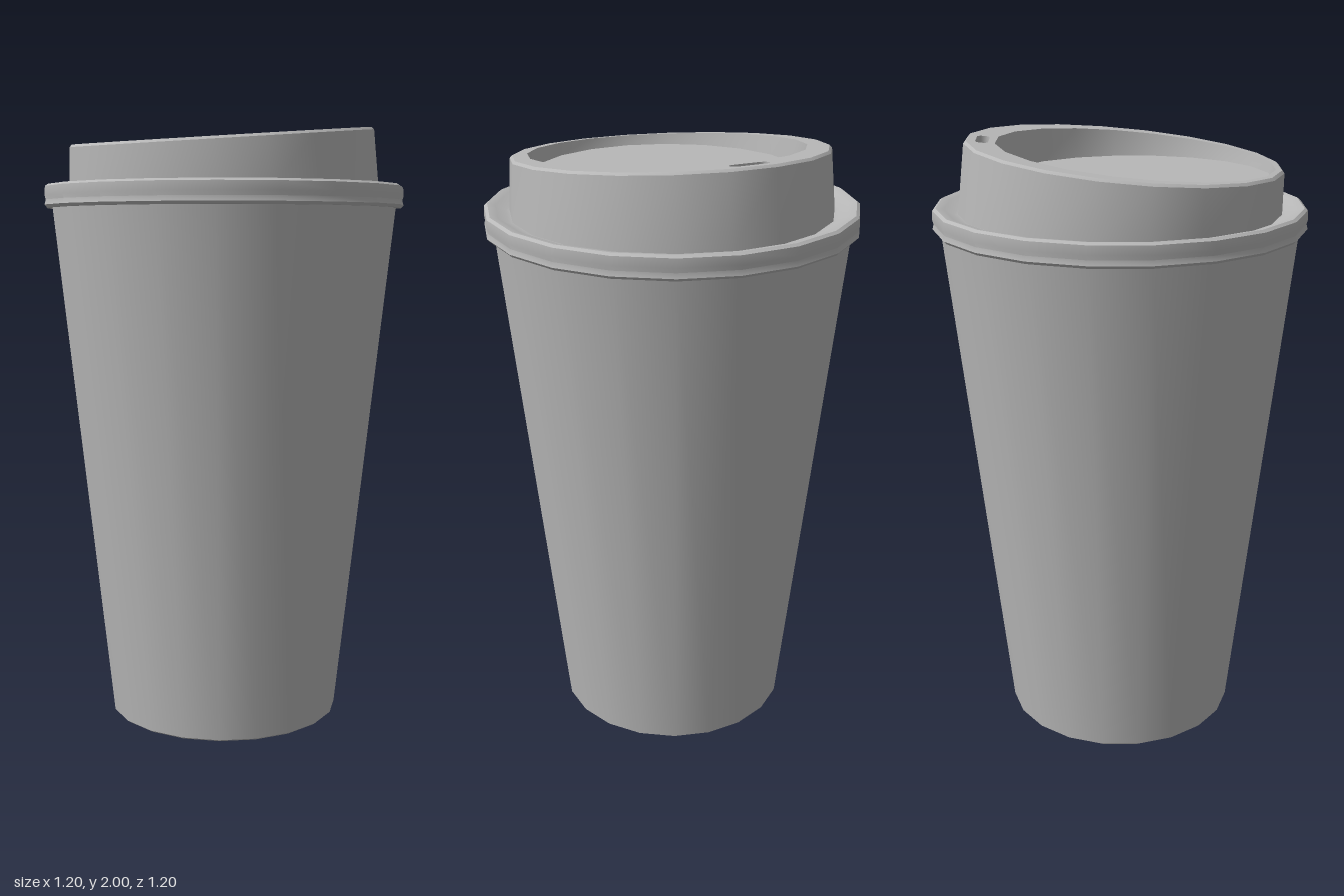
import * as THREE from 'three';
import { toCreasedNormals } from 'three/addons/utils/BufferGeometryUtils.js';

const SIDES = 20;
const grey = new THREE.MeshStandardMaterial({ color: 0xb8b8b8 });
grey.name = 'grey';

// height of the slanted lid top
const slant = (x) => 1.905 + (x + 0.52) * 0.094;

// counter-clockwise plan outline, as [x, -z]
function circle(cx, r) {
  return Array.from({ length: SIDES }, (_, i) => {
    const a = (i / SIDES) * Math.PI * 2;
    return new THREE.Vector2(cx + r * Math.cos(a), r * Math.sin(a));
  });
}

// pill-shaped plan outline, turned by angle
function pill(cx, cy, half, r, angle) {
  const pts = [];
  for (let i = 0; i < 14; i++) {
    const end = i < 7 ? 1 : -1;
    const a = (i < 7 ? i / 6 : 1 + (i - 7) / 6) * Math.PI;
    pts.push(new THREE.Vector2(r * Math.cos(a), end * half + r * Math.sin(a))
      .rotateAround(new THREE.Vector2(), angle).add(new THREE.Vector2(cx, cy)));
  }
  return pts;
}

// lift a plan outline to a height rule
const ring = (pts, height) => pts.map((p) => [p.x, height(p.x), -p.y]);

// closed skin through rings; rising rings face out, falling rings face in
function loft(rings) {
  const n = rings[0].length;
  const index = [];
  for (let i = 0; i < rings.length - 1; i++) {
    for (let j = 0; j < n; j++) {
      const a = i * n + j, b = i * n + ((j + 1) % n);
      index.push(a, b, b + n, a, b + n, a + n);
    }
  }
  const geo = new THREE.BufferGeometry();
  geo.setAttribute('position', new THREE.Float32BufferAttribute(rings.flat(2), 3));
  geo.setIndex(index);
  return toCreasedNormals(geo, 0.55);
}

// upward-facing plate with holes, following a height rule
function plate(outline, holes, height) {
  const shape = new THREE.Shape(outline);
  shape.holes = holes.map((h) => new THREE.Path(h));
  const geo = new THREE.ShapeGeometry(shape).rotateX(-Math.PI / 2);
  const pos = geo.attributes.position;
  for (let i = 0; i < pos.count; i++) pos.setY(i, height(pos.getX(i)));
  geo.computeVertexNormals();
  return geo;
}

function lathe(profile) {
  const pts = profile.map(([r, y]) => new THREE.Vector2(r, y));
  return toCreasedNormals(new THREE.LatheGeometry(pts, SIDES), 0.55);
}

export function createModel() {
  const model = new THREE.Group();
  model.name = 'lidded cup';
  const add = (name, geo) => {
    const mesh = new THREE.Mesh(geo, grey);
    mesh.name = name;
    model.add(mesh);
  };

  // tapered body with a recessed base
  add('cupBody', lathe([
    [0, 0.025], [0.372, 0.025], [0.372, 0.003], [0.38, 0], [0.388, 0.006], [0.576, 1.73],
  ]));

  // lid flange with a shallow channel around the raised wall
  add('lidFlange', lathe([
    [0.565, 1.715], [0.592, 1.715], [0.6, 1.724], [0.596, 1.74], [0.6, 1.755],
    [0.598, 1.783], [0.588, 1.79], [0.562, 1.785], [0.53, 1.768], [0.505, 1.768],
  ]));

  // raised wall with a small softened top edge
  const rimOuter = circle(-0.014, 0.498);
  add('lidWall', loft([
    ring(circle(0, 0.518), () => 1.765),
    ring(circle(-0.014, 0.506), (x) => slant(x) - 0.008),
    ring(rimOuter, slant),
  ]));

  // slanted rim around the recess and drinking slot
  const recess = circle(-0.05, 0.443);
  const slot = pill(0.423, 0.087, 0.047, 0.02, 0.19);
  add('lidRim', plate(rimOuter, [recess, slot], slant));

  // level recess
  const floorY = 1.875;
  const floor = circle(-0.05, 0.435);
  add('recessWall', loft([ring(recess, slant), ring(floor, () => floorY)]));
  add('recessFloor', plate(floor, [], () => floorY));

  // drinking slot pocket
  const slotFloor = (x) => slant(x) - 0.06;
  add('slotWall', loft([ring(slot, slant), ring(slot, slotFloor)]));
  add('slotFloor', plate(slot, [], slotFloor));

  return model;
}
